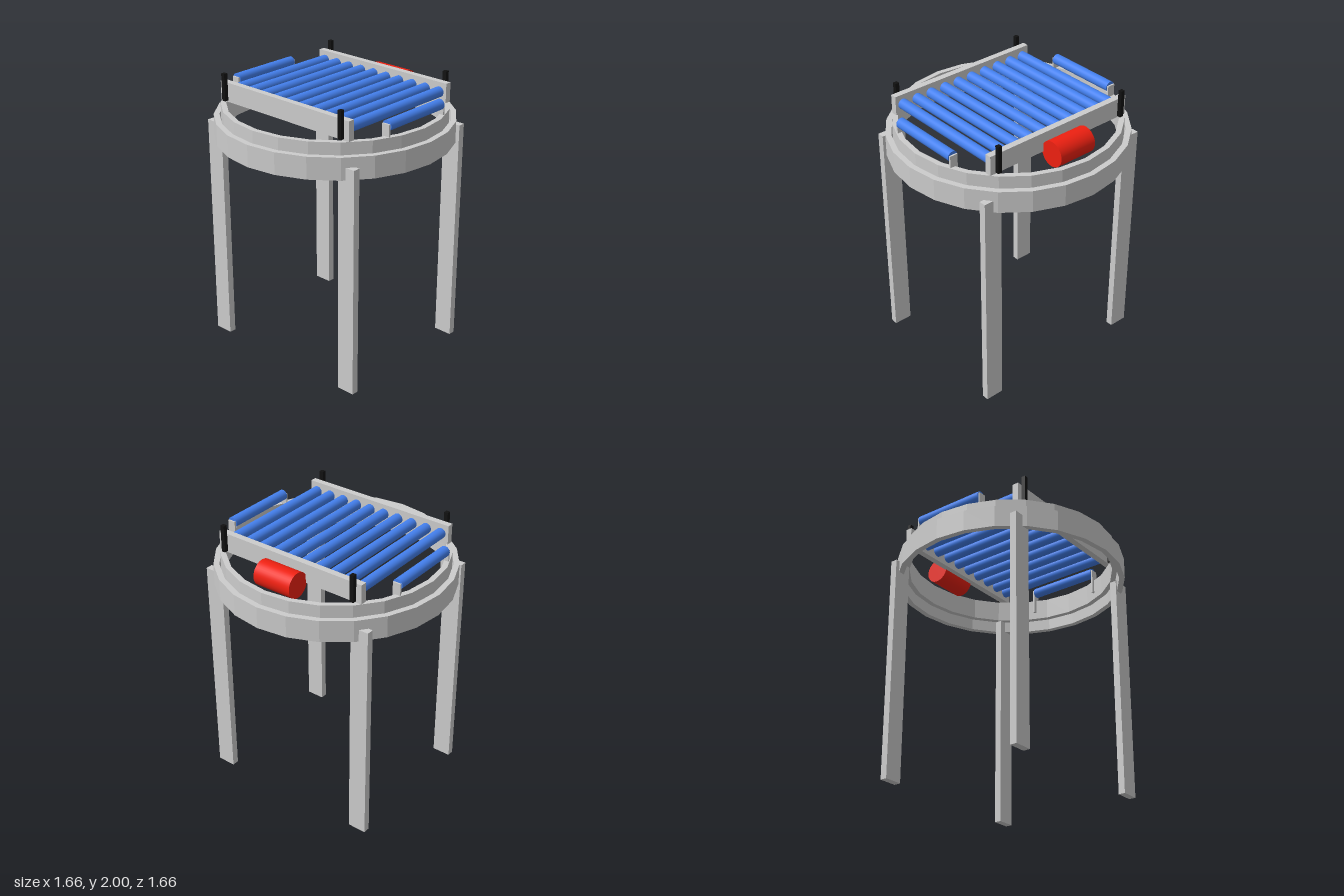
import * as THREE from 'three';

const grey = new THREE.MeshStandardMaterial({ color: 0xcccccc });
const greyFlat = new THREE.MeshStandardMaterial({ color: 0xcccccc, flatShading: true });
const blue = new THREE.MeshStandardMaterial({ color: 0x4480ee });
const red = new THREE.MeshStandardMaterial({ color: 0xee2011 });
const black = new THREE.MeshStandardMaterial({ color: 0x111111 });

export function createModel() {
  const model = new THREE.Group();

  const add = (name, geometry, material, x, y, z) => {
    const mesh = new THREE.Mesh(geometry, material);
    mesh.name = name;
    mesh.position.set(x, y, z);
    model.add(mesh);
    return mesh;
  };
  const box = (name, w, h, d, material, x, y, z) =>
    add(name, new THREE.BoxGeometry(w, h, d), material, x, y, z);

  // Faceted ring with a rectangular section
  const ring = (name, inner, outer, bottom, top) => {
    const profile = [[inner, bottom], [outer, bottom], [outer, top], [inner, top], [inner, bottom]]
      .map(([r, y]) => new THREE.Vector2(r, y));
    add(name, new THREE.LatheGeometry(profile, 24), greyFlat, 0, 0, 0);
  };

  // Roller lying along x
  const roller = (name, length, y, z) => {
    const geometry = new THREE.CylinderGeometry(0.037, 0.037, length, 32).rotateZ(Math.PI / 2);
    add(name, geometry, blue, 0, y, z);
  };

  // Fixed outer ring and raised turning ring
  ring('outerRing', 0.79, 0.83, 1.56, 1.715);
  ring('turntableRing', 0.742, 0.78, 1.64, 1.797);

  for (const sx of [-1, 1]) {
    // Side rails holding the roller bed
    box('sideRail', 0.046, 0.137, 1.17, grey, sx * 0.489, 1.8655, 0);
    for (const sz of [-1, 1]) {
      box('leg', 0.05, 1.645, 0.135, grey, sx * 0.538, 0.8225, sz * 0.608);
      box('cornerPost', 0.029, 0.193, 0.029, black, sx * 0.5265, 1.9035, sz * 0.53);
      // Brackets of the end rollers, hung inside the turning ring
      box('endRollerBracket', 0.012, 0.19, 0.058, grey, sx * 0.276, 1.785, sz * 0.687);
    }
  }

  // Roller bed
  const count = 10;
  for (let i = 0; i < count; i++) {
    roller('bedRoller', 0.932, 1.866, -0.527 + (1.054 * i) / (count - 1));
  }

  // End rollers outside the bed
  for (const sz of [-1, 1]) roller('endRoller', 0.54, 1.866, sz * 0.687);

  // Drive motor beside the left rail
  add('motor', new THREE.CylinderGeometry(0.09, 0.09, 0.292, 40).rotateX(Math.PI / 2), red, 0.592, 1.814, 0);

  return model;
}
